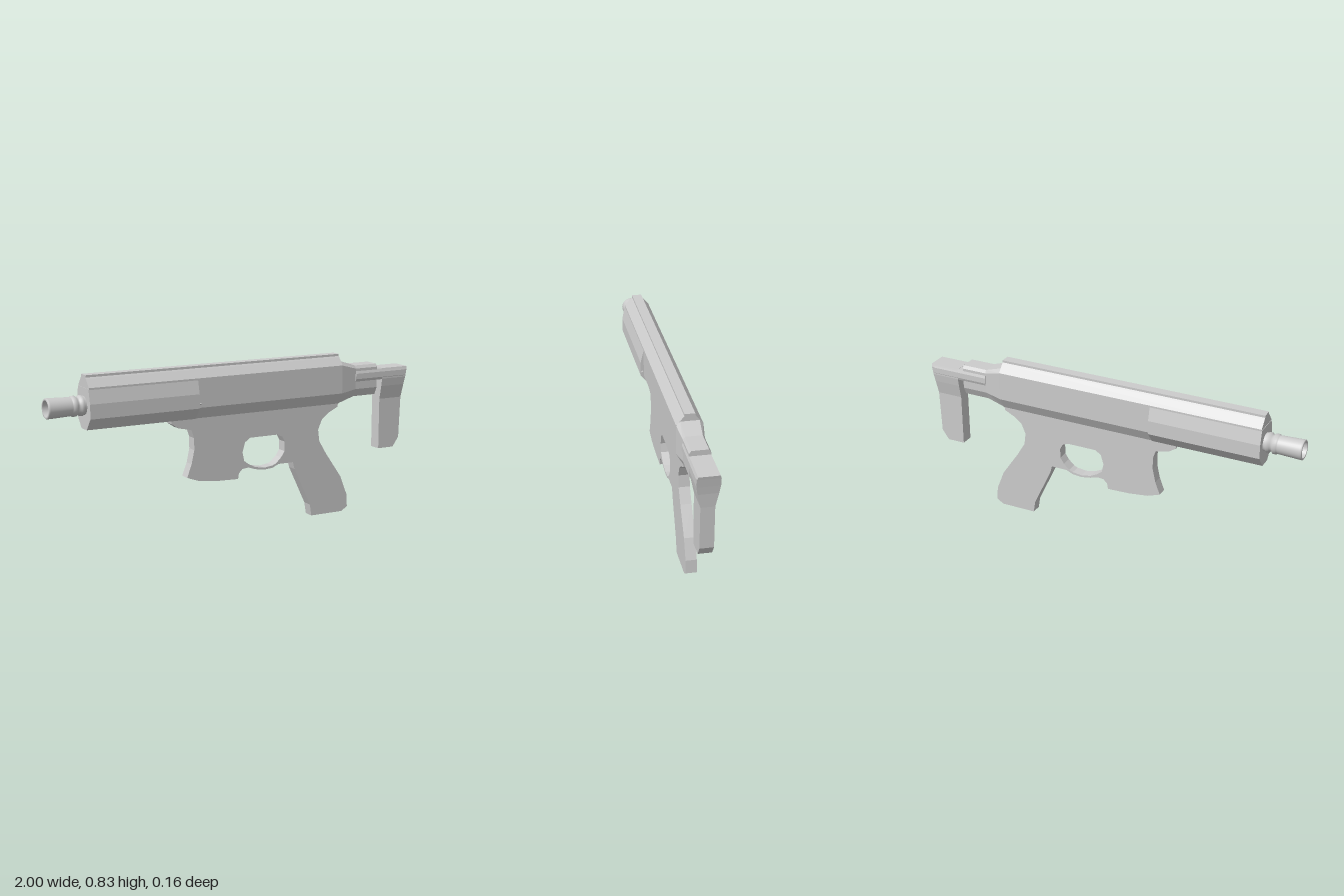
import * as THREE from 'three';

const flat = new THREE.MeshStandardMaterial({ color: 0xcccccc, flatShading: true });
const smooth = new THREE.MeshStandardMaterial({ color: 0xcccccc, side: THREE.DoubleSide });

// Closed solid through loops of [x, y, z] points, ends capped from the loop centre
function loft(loops) {
  const pos = [];
  const n = loops[0].length;
  const centre = (loop) => [0, 1, 2].map((k) => loop.reduce((s, p) => s + p[k], 0) / n);
  const first = loops[0], last = loops[loops.length - 1];
  const c0 = centre(first), c1 = centre(last);
  for (let i = 0; i < n; i++) {
    const j = (i + 1) % n;
    for (let s = 0; s < loops.length - 1; s++) {
      const a = loops[s][i], b = loops[s][j], c = loops[s + 1][j], d = loops[s + 1][i];
      pos.push(...a, ...b, ...c, ...a, ...c, ...d);
    }
    pos.push(...c0, ...first[j], ...first[i], ...c1, ...last[i], ...last[j]);
  }
  const geo = new THREE.BufferGeometry();
  geo.setAttribute('position', new THREE.Float32BufferAttribute(pos, 3));
  geo.computeVertexNormals();
  return geo;
}

// Mirrored section at x from its +z half, listed top to bottom as [z, y]
function section(x, half) {
  const left = half.map(([z, y]) => [x, y, z]);
  const right = half.map(([z, y]) => [x, y, -z]).reverse();
  return [...left, ...right];
}

// Rectangle at height y, for parts that run upward
const rect = ([y, x0, x1, z]) => [[x0, y, z], [x1, y, z], [x1, y, -z], [x0, y, -z]];

const points = (list) => list.map(([x, y]) => new THREE.Vector2(x, y));

export function createModel() {
  const model = new THREE.Group();
  const add = (name, geo, mat = flat) => {
    const mesh = new THREE.Mesh(geo, mat);
    mesh.name = name;
    model.add(mesh);
    return mesh;
  };

  // Long faceted body with a narrow rail along the top
  const body = [[0.025, 0.835], [0.025, 0.824], [0.031, 0.818], [0.063, 0.78], [0.063, 0.635], [0.03, 0.578]];
  add('receiver', loft([section(-0.808, body), section(0.59, body)]));

  // Wider panels on both sides of the front
  const panel = [[0.062, 0.775], [0.079, 0.705], [0.079, 0.635], [0.031, 0.576]];
  add('handguard', loft([section(-0.81, panel), section(-0.24, panel)]));

  const pin = add('handguardPin', new THREE.CylinderGeometry(0.005, 0.005, 0.02, 10));
  pin.rotation.z = Math.PI / 2;
  pin.position.set(-0.238, 0.656, 0.071);

  // Rear of the body narrows to a short neck
  const wide = [[0.045, 0.8], [0.063, 0.78], [0.063, 0.635], [0.03, 0.579]];
  const neck = [[0.04, 0.77], [0.05, 0.755], [0.05, 0.648], [0.03, 0.608]];
  add('rearNeck', loft([section(0.588, wide), section(0.68, neck), section(0.812, neck)]));

  // Stock arms and the shoulder piece hanging from them
  const arm = [[0.049, 0.744], [0.055, 0.728], [0.055, 0.7], [0.05, 0.687]];
  add('stockArms', loft([section(0.68, arm), section(0.985, arm)]));
  add('stockButt', loft([
    [0.315, 0.843, 0.935, 0.033],
    [0.365, 0.843, 0.97, 0.033],
    [0.58, 0.843, 0.978, 0.033],
    [0.65, 0.843, 0.984, 0.048],
    [0.69, 0.843, 0.99, 0.054],
    [0.73, 0.843, 0.997, 0.054],
    [0.745, 0.843, 1.0, 0.049],
  ].map(rect)));

  // Magazine well, trigger guard and pistol grip as one plate
  const frame = new THREE.Shape(points([
    [-0.37, 0.585], [-0.365, 0.56], [-0.33, 0.537], [-0.26, 0.522], [-0.245, 0.48], [-0.245, 0.42],
    [-0.26, 0.35], [-0.285, 0.285], [-0.22, 0.262], [-0.12, 0.25], [0, 0.246], [0.005, 0.275],
    [0.025, 0.295], [0.06, 0.298], [0.1, 0.285], [0.15, 0.277], [0.2, 0.281], [0.235, 0.297],
    [0.32, 0.297], [0.33, 0.26], [0.425, 0.06], [0.435, 0], [0.62, 0], [0.655, 0.022], [0.65, 0.09],
    [0.61, 0.19], [0.52, 0.32], [0.478, 0.39], [0.47, 0.45], [0.49, 0.5], [0.53, 0.533],
    [0.585, 0.56], [0.59, 0.585],
  ]));
  frame.holes.push(new THREE.Path(points([
    [0.07, 0.45], [0.225, 0.45], [0.255, 0.437], [0.27, 0.41], [0.27, 0.36], [0.25, 0.33], [0.22, 0.302],
    [0.2, 0.293], [0.15, 0.287], [0.1, 0.296], [0.06, 0.316], [0.035, 0.335], [0.025, 0.38], [0.04, 0.43],
  ])));
  const plate = new THREE.ExtrudeGeometry(frame, { depth: 0.054, bevelEnabled: false });
  plate.translate(0, 0, -0.027);
  add('gripFrame', plate);

  // Hollow barrel end with collars, turned about the x axis; corners doubled to stay crisp
  const barrel = add('barrel', new THREE.LatheGeometry(points([
    [0, -0.86], [0.039, -0.86], [0.039, -0.861], [0.039, -0.999], [0.04, -1], [0.046, -1], [0.049, -0.997],
    [0.049, -0.99], [0.045, -0.88], [0.044, -0.875], [0.049, -0.87], [0.049, -0.855], [0.041, -0.85],
    [0.041, -0.84], [0.049, -0.835], [0.049, -0.822], [0.045, -0.818], [0.045, -0.8],
  ]), 32), smooth);
  barrel.rotation.z = -Math.PI / 2;
  barrel.position.y = 0.69;

  return model;
}
